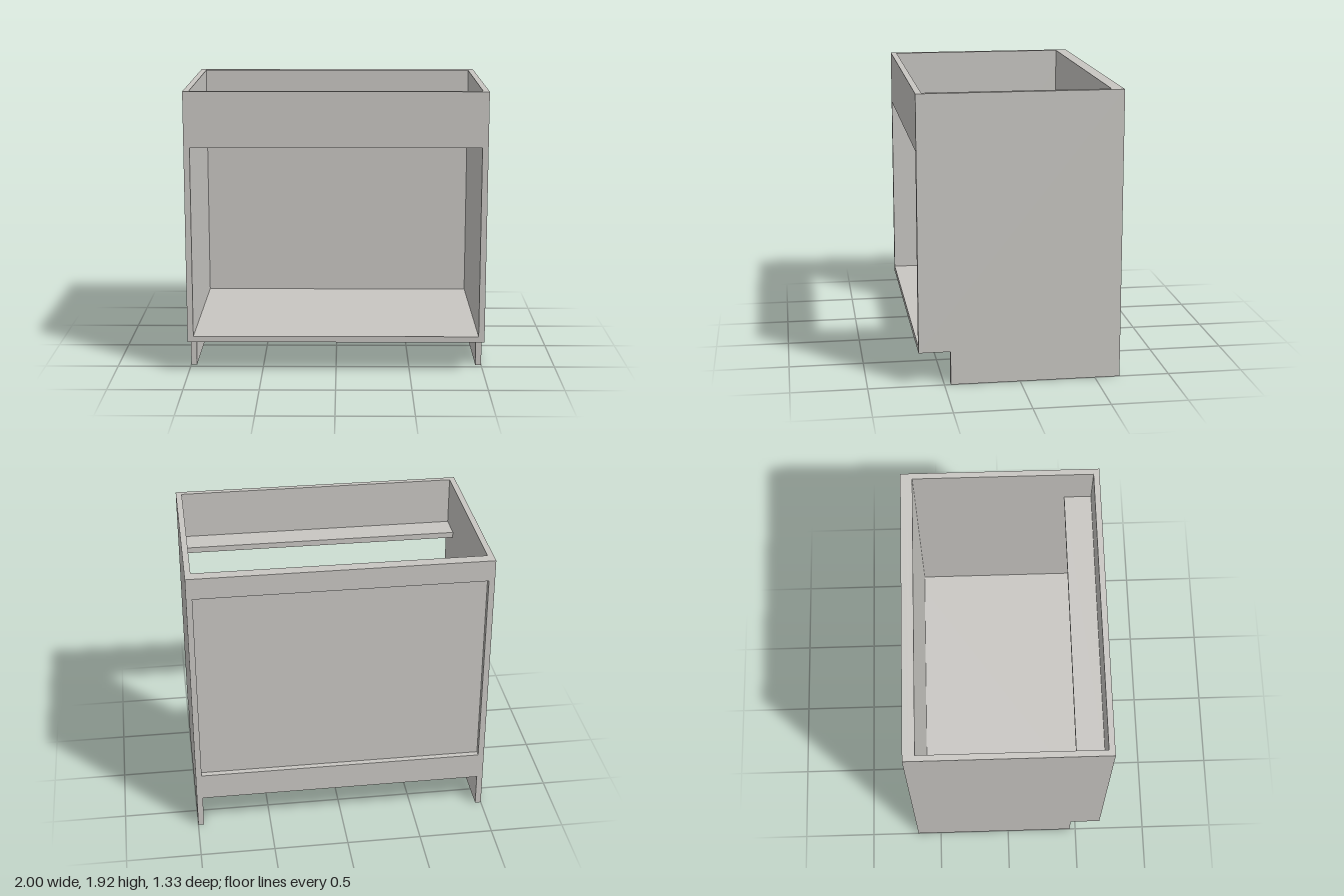
import * as THREE from 'three';

const T = 0.04;      // board thickness
const TOP = 1.92;    // overall height
const BASE = 0.225;  // underside of the floor
const D = 0.667;     // half depth
const INNER = 1 - T; // half width between the side panels

export function createModel() {
  const group = new THREE.Group();
  group.name = 'cabinet';
  const board = new THREE.MeshStandardMaterial({ color: 0xc8c6c2 });
  board.name = 'light grey board';

  // Side panels with a toe-kick notch at the front foot
  const outline = new THREE.Shape([
    [-D, 0], [0.458, 0], [0.458, BASE], [D, BASE], [D, TOP], [-D, TOP],
  ].map(([z, y]) => new THREE.Vector2(-z, y)).reverse());
  const sideGeometry = new THREE.ExtrudeGeometry(outline, { depth: T, bevelEnabled: false });
  sideGeometry.rotateY(Math.PI / 2);
  for (const [name, x] of [['leftSide', INNER], ['rightSide', -1]]) {
    const side = new THREE.Mesh(sideGeometry, board);
    side.name = name;
    side.position.x = x;
    group.add(side);
  }

  // Boards that span between the sides, given by their y and z limits
  const span = (name, y0, y1, z0, z1) => {
    const mesh = new THREE.Mesh(new THREE.BoxGeometry(2 * INNER, y1 - y0, z1 - z0), board);
    mesh.name = name;
    mesh.position.set(0, (y0 + y1) / 2, (z0 + z1) / 2);
    group.add(mesh);
  };
  span('floor', BASE, BASE + T, -D, D);
  span('frontRail', 1.55, TOP, D - T, D);
  span('frontStretcher', 1.55, 1.55 + T, 0.442, D - T);
  span('backPanel', BASE + T, TOP, -D + T, -D + 2 * T);
  span('backTopRail', TOP - 0.145, TOP, -D, -D + T);
  span('backBottomRail', BASE + T, 0.41, -D, -D + T);

  return group;
}
